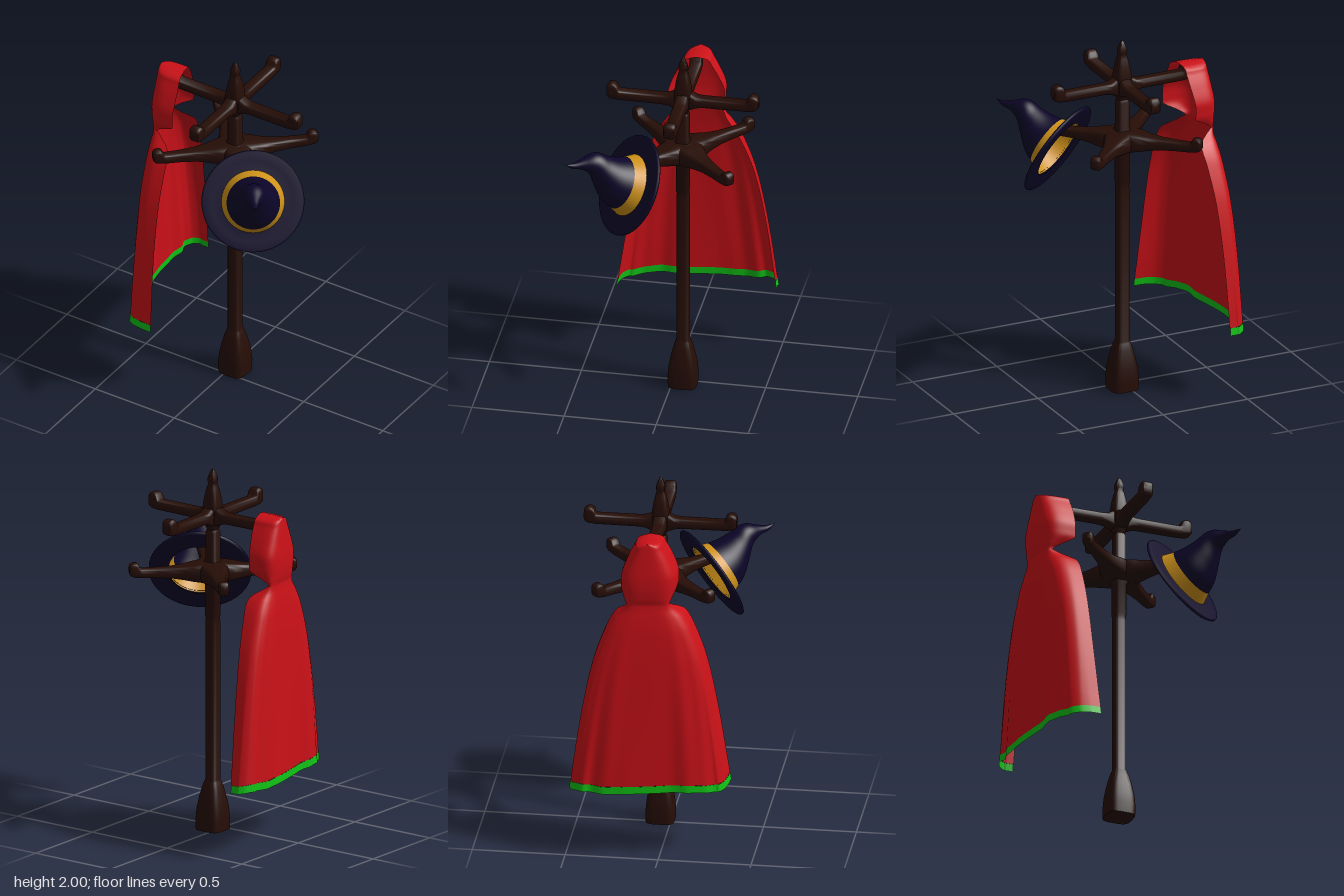
import * as THREE from 'three';
import { mergeVertices, toCreasedNormals } from 'three/addons/utils/BufferGeometryUtils.js';

const mat = (color, side = THREE.FrontSide) => new THREE.MeshStandardMaterial({ color, side });
const WOOD = mat(0x260d06);
const NAVY = mat(0x0c0529, THREE.DoubleSide);
const GOLD = mat(0xcf921a, THREE.DoubleSide);
const RED = mat(0xcb1118, THREE.DoubleSide);
const GREEN = mat(0x12c416, THREE.DoubleSide);

// Grid surface: point(u, v) with u around a section and v along the loft, both 0..1
function surface(point, nu, nv) {
  const pos = [], index = [];
  for (let j = 0; j <= nv; j++)
    for (let i = 0; i <= nu; i++) pos.push(...point(i / nu, j / nv));
  for (let j = 0; j < nv; j++)
    for (let i = 0; i < nu; i++) {
      const a = j * (nu + 1) + i, c = a + nu + 1;
      index.push(a, c, a + 1, c, c + 1, a + 1);
    }
  let g = new THREE.BufferGeometry();
  g.setAttribute('position', new THREE.Float32BufferAttribute(pos, 3));
  g.setIndex(index);
  g = mergeVertices(g, 1e-5);
  g.computeVertexNormals();
  return g;
}

function add(parent, name, geometry, material) {
  const m = new THREE.Mesh(geometry, material);
  m.name = name;
  parent.add(m);
  return m;
}

// Rounded-square power of a sine or cosine
const sq = (v, p = 0.5) => Math.sign(v) * Math.pow(Math.abs(v), p);

// Interpolate a table of rows by its first column (smooth Catmull-Rom on the other columns)
function sample(rows, t) {
  let i = 0;
  while (i < rows.length - 2 && t > rows[i + 1][0]) i++;
  const a = rows[i], b = rows[i + 1], p = rows[i - 1] || a, q = rows[i + 2] || b;
  const h = b[0] - a[0], s = THREE.MathUtils.clamp((t - a[0]) / h, 0, 1);
  return a.slice(1).map((_, k) => {
    k++;
    const ma = (b[k] - p[k]) / (b[0] - p[0]) * h, mb = (q[k] - a[k]) / (q[0] - a[0]) * h;
    const s2 = s * s, s3 = s2 * s;
    return (2 * s3 - 3 * s2 + 1) * a[k] + (s3 - 2 * s2 + s) * ma + (3 * s2 - 2 * s3) * b[k] + (s3 - s2) * mb;
  });
}

// Pole with rounded-square sections: rows of [y, half width]
function poleGeometry(rows) {
  const n = rows.length - 1;
  return toCreasedNormals(surface((u, v) => {
    const [y, r] = rows[Math.round(v * n)], a = (u % 1) * Math.PI * 2;
    return [r * sq(Math.cos(a)), y, r * sq(Math.sin(a))];
  }, 32, n), 0.7);
}

// Arm along +x: rows of [distance, half width, bottom, top]
function armGeometry(rows) {
  const n = rows.length - 1;
  return toCreasedNormals(surface((u, v) => {
    const [t, w, lo, hi] = rows[Math.round(v * n)], a = (u % 1) * Math.PI * 2;
    return [t, (lo + hi) / 2 + (hi - lo) / 2 * sq(Math.sin(a)), w * sq(Math.cos(a))];
  }, 24, n), 0.8);
}

function buildStand() {
  const stand = new THREE.Group();
  stand.name = 'coatStand';
  stand.position.set(0.029, 0, -0.057);
  add(stand, 'pole', poleGeometry([
    [0, 0], [0, 0.077], [0.06, 0.078], [0.12, 0.073], [0.18, 0.062], [0.23, 0.05], [0.265, 0.039], [0.275, 0.034],
    [1.15, 0.034], [1.175, 0.031], [1.19, 0.036], [1.36, 0.036], [1.38, 0.045], [1.48, 0.045], [1.505, 0.034],
    [1.65, 0.034], [1.665, 0.027], [1.69, 0.036], [1.72, 0.046], [1.77, 0.046], [1.81, 0.044], [1.86, 0.036], [1.9, 0.027], [1.92, 0.02],
    [1.935, 0.024], [1.955, 0.023], [1.98, 0.014], [1.995, 0.007], [2, 0],
  ]), WOOD);

  const upper = armGeometry([
    [0, 0.037, -0.058, 0.056], [0.045, 0.037, -0.048, 0.048], [0.075, 0.036, -0.034, 0.031], [0.11, 0.035, -0.028, 0.027],
    [0.341, 0.034, -0.027, 0.027], [0.35, 0.034, -0.027, 0.035], [0.356, 0.034, -0.027, 0.057], [0.37, 0.034, -0.026, 0.067],
    [0.388, 0.034, -0.024, 0.068], [0.403, 0.032, -0.017, 0.061], [0.411, 0.026, -0.006, 0.05], [0.411, 0, 0.02, 0.02],
  ]);
  const lower = armGeometry([
    [0, 0.08, -0.058, 0.055], [0.07, 0.078, -0.056, 0.05], [0.115, 0.066, -0.05, 0.043], [0.16, 0.05, -0.042, 0.036],
    [0.22, 0.038, -0.033, 0.029], [0.3, 0.031, -0.028, 0.026], [0.385, 0.028, -0.026, 0.025], [0.394, 0.028, -0.025, 0.032],
    [0.4, 0.028, -0.025, 0.048], [0.412, 0.028, -0.024, 0.057], [0.43, 0.028, -0.021, 0.057], [0.444, 0.026, -0.013, 0.051],
    [0.45, 0.02, -0.004, 0.042], [0.45, 0, 0.02, 0.02],
  ]);
  for (let i = 0; i < 4; i++) {
    const a = add(stand, 'upperArm', upper, WOOD);
    a.position.y = 1.741;
    a.rotation.y = i * Math.PI / 2;
    const b = add(stand, 'lowerArm', lower, WOOD);
    b.position.y = 1.437;
    b.rotation.y = (i + 0.5) * Math.PI / 2;
  }
  return stand;
}

// Hat along +y, its crown bending towards +x: rows of [height, radius, bend]
function hatSurface(rows, nv, from, to) {
  return surface((u, v) => {
    const y = from + (to - from) * v, [r, bend] = sample(rows, y), a = (u % 1) * Math.PI * 2;
    return [bend + r * Math.cos(a), y, r * Math.sin(a)];
  }, 48, nv);
}

function buildHat() {
  const hat = new THREE.Group();
  hat.name = 'hat';
  const crown = [[0, 0.172, 0], [0.07, 0.142, 0], [0.13, 0.121, 0.006], [0.2, 0.09, 0.034], [0.26, 0.065, 0.064],
    [0.3, 0.05, 0.064], [0.34, 0.03, 0.045], [0.38, 0.017, 0.022], [0.43, 0, 0.013]];
  add(hat, 'hatCrown', hatSurface(crown, 32, 0.068, 0.43), NAVY);
  add(hat, 'hatBand', hatSurface(crown, 4, 0, 0.068), GOLD);
  const brim = [[0.17, -0.008], [0.22, -0.012], [0.266, -0.012], [0.275, -0.005], [0.275, 0.003], [0.266, 0.008], [0.22, 0.006], [0.167, 0.008]];
  add(hat, 'hatBrim', new THREE.LatheGeometry(brim.map(p => new THREE.Vector2(...p)), 48), NAVY);
  // Tilt so the crown faces forward, left and up
  const n = new THREE.Vector3(0.5, 0.46, 0.73).normalize();
  const up = new THREE.Vector3(0, 1, 0).addScaledVector(n, -n.y).normalize();
  hat.quaternion.setFromRotationMatrix(new THREE.Matrix4().makeBasis(up, n, up.clone().cross(n)));
  hat.position.set(0.295, 1.338, 0.183);
  return hat;
}

// Cloak: rows of [y, half width, depth, back x]; each section is a U opening towards +x
const CLOAK = [
  [0.37, 0.42, 0.165, -0.49], [0.8, 0.36, 0.155, -0.484], [1.1, 0.3, 0.152, -0.477], [1.3, 0.23, 0.15, -0.467], [1.385, 0.182, 0.141, -0.458],
  [1.42, 0.145, 0.1, -0.453], [1.457, 0.115, 0.034, -0.449], [1.49, 0.127, 0.078, -0.456], [1.53, 0.145, 0.152, -0.461], [1.56, 0.148, 0.157, -0.463],
  [1.62, 0.146, 0.158, -0.463], [1.7, 0.116, 0.158, -0.457], [1.77, 0.08, 0.154, -0.451], [1.803, 0.058, 0.15, -0.448], [1.817, 0, 0.148, -0.446],
];

function cloakSurface(y0, y1, nv, grow = 0) {
  return surface((u, v) => {
    const y = y0 + (y1 - y0) * v, [w, d, back] = sample(CLOAK, y);
    const a = (u - 0.5) * Math.PI;
    // Folds deepen towards the hem
    const drop = THREE.MathUtils.clamp((1.43 - y) / 1.05, 0, 1);
    const fold = drop * (0.006 * Math.sin(a * 9 + 1.2 * y) + 0.004 * Math.sin(a * 17 - 2 * y));
    const hem = y < 0.5 ? 0.005 * Math.sin(a * 5) : 0;
    const across = (w + grow) * sq(Math.sin(a), 0.6);
    const inward = 1 - sq(Math.max(Math.cos(a), 0), 0.45);
    // The whole section is turned a little, the open edges more than the back
    const turn = (0.12 + 0.06 * inward) * across;
    return [back + d * inward - grow + fold + turn, y + hem, -0.065 + across + fold * 0.6 * Math.sin(a)];
  }, 64, nv);
}

function buildCloak() {
  const cloak = new THREE.Group();
  cloak.name = 'hoodedCloak';
  add(cloak, 'cape', cloakSurface(0.42, 1.457, 48), RED);
  add(cloak, 'hood', cloakSurface(1.457, 1.817, 40), RED);
  add(cloak, 'hemTrim', cloakSurface(0.378, 0.42, 2, 0.001), GREEN);
  return cloak;
}

export function createModel() {
  const model = new THREE.Group();
  model.name = 'coatStandWithHatAndCloak';
  model.add(buildStand(), buildHat(), buildCloak());
  return model;
}
